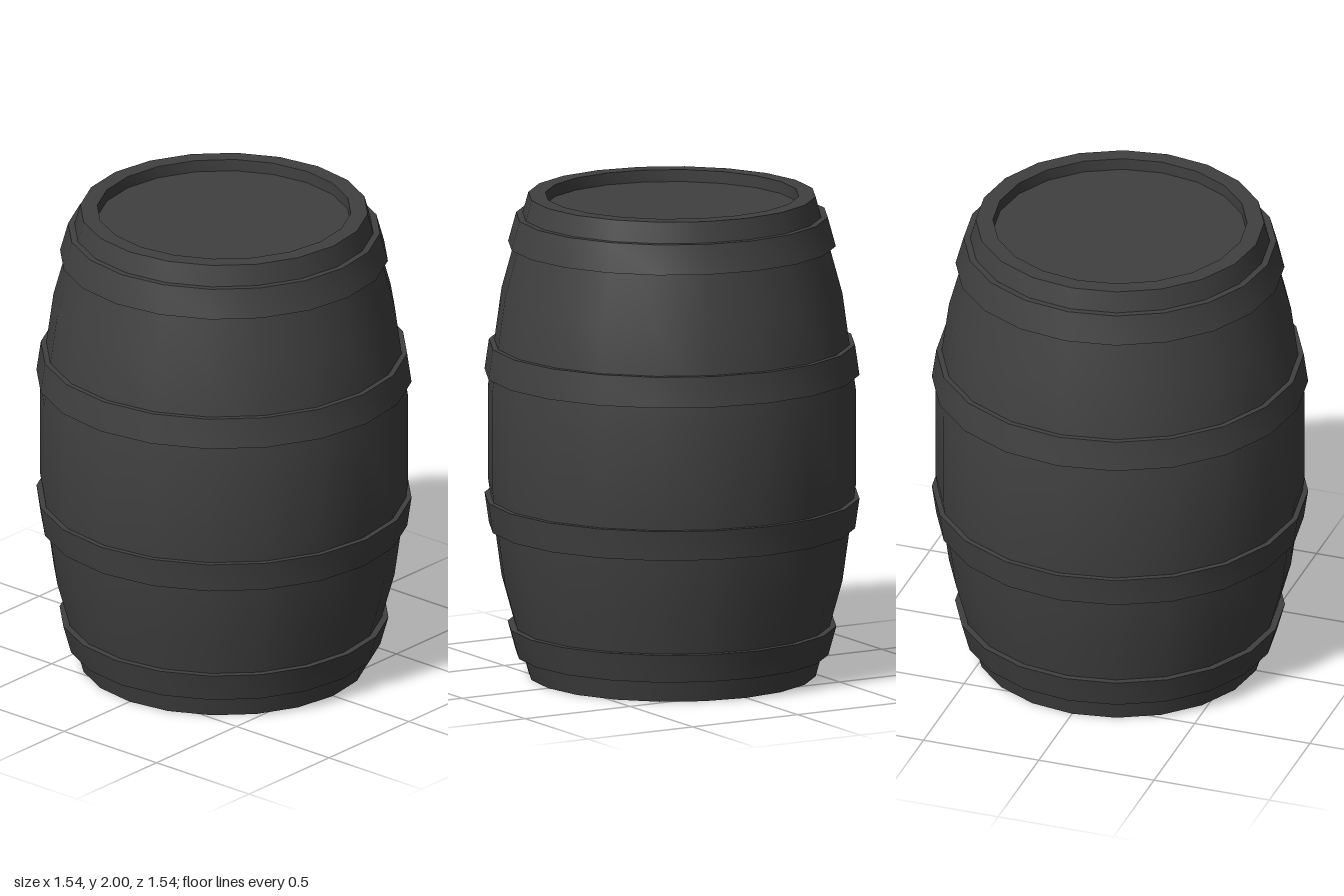
import * as THREE from 'three';
import { toCreasedNormals } from 'three/addons/utils/BufferGeometryUtils.js';

const SIDES = 20;
const material = new THREE.MeshStandardMaterial({ color: 0x404040 });

// Turned part: smooth around the axis, sharp at the profile's corners
function turned(name, profile) {
  const points = profile.map(([r, y]) => new THREE.Vector2(r, y));
  const geometry = toCreasedNormals(new THREE.LatheGeometry(points, SIDES), 0.6);
  const mesh = new THREE.Mesh(geometry, material);
  mesh.name = name;
  return mesh;
}

// Hoop: thin sloped band; its inner face sits just inside the staves
function hoop(name, y0, r0, y1, r1) {
  const t = 0.06;
  return turned(name, [[r0 - t, y0], [r0, y0], [r1, y1], [r1 - t, y1], [r0 - t, y0]]);
}

export function createModel() {
  const barrel = new THREE.Group();
  barrel.name = 'barrel';

  // Bulging body with a recessed head at each end
  barrel.add(turned('body', [
    [0, 0.05], [0.52, 0.05], [0.52, 0], [0.59, 0],
    [0.7, 0.4], [0.755, 0.8], [0.755, 1.2], [0.7, 1.6],
    [0.59, 2], [0.52, 2], [0.52, 1.95], [0, 1.95],
  ]));

  // Hoops: the narrower edge of each faces the nearer end
  barrel.add(
    hoop('bottomHoop', 0.09, 0.642, 0.21, 0.675),
    hoop('lowerMiddleHoop', 0.62, 0.752, 0.745, 0.77),
    hoop('upperMiddleHoop', 1.26, 0.77, 1.385, 0.752),
    hoop('topHoop', 1.795, 0.673, 1.915, 0.64),
  );

  return barrel;
}
